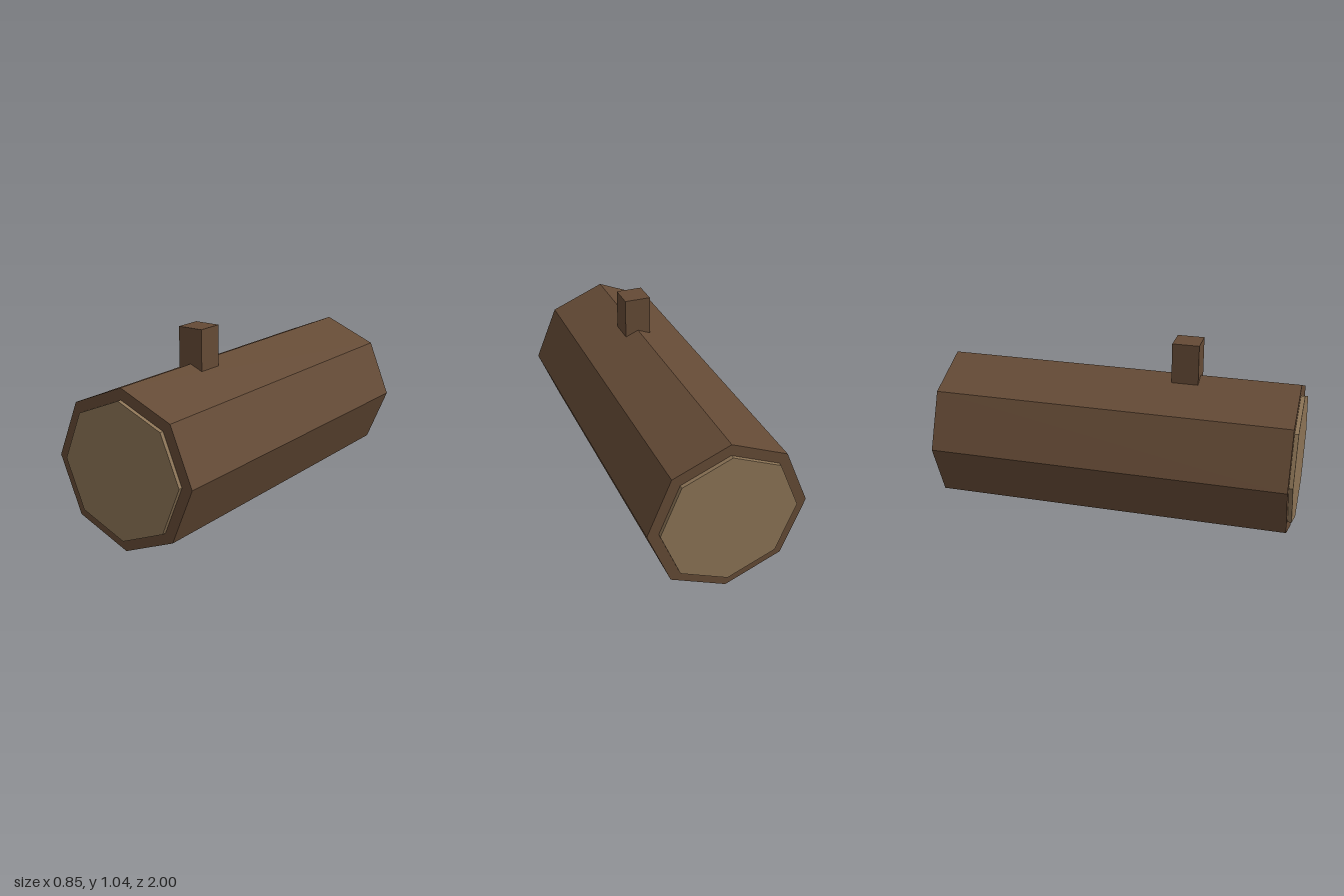
import * as THREE from 'three';

const RADIUS = 0.427;

export function createModel() {
  const group = new THREE.Group();
  const bark = new THREE.MeshStandardMaterial({ color: 0x644a35, flatShading: true });
  const wood = new THREE.MeshStandardMaterial({ color: 0x8b7355, flatShading: true });

  const add = (name, geometry, material, y, z) => {
    const mesh = new THREE.Mesh(geometry, material);
    mesh.name = name;
    mesh.position.set(0, y, z);
    group.add(mesh);
  };

  // Eight-sided prism lying along z, with a corner at the top
  const prism = (radius, length) =>
    new THREE.CylinderGeometry(radius, radius, length, 8).rotateX(Math.PI / 2);

  // Bark-covered log
  add('log', prism(RADIUS, 1.956), bark, RADIUS, 0);

  // Pale cut wood standing slightly proud of each end
  for (const [name, side] of [['frontCutEnd', 1], ['backCutEnd', -1]]) {
    add(name, prism(0.366, 0.05), wood, RADIUS, side * 0.975);
  }

  // Square branch stub on top, sunk into the log
  add('branchStub', new THREE.BoxGeometry(0.146, 0.245, 0.146), bark, 0.9225, 0.364);

  return group;
}
